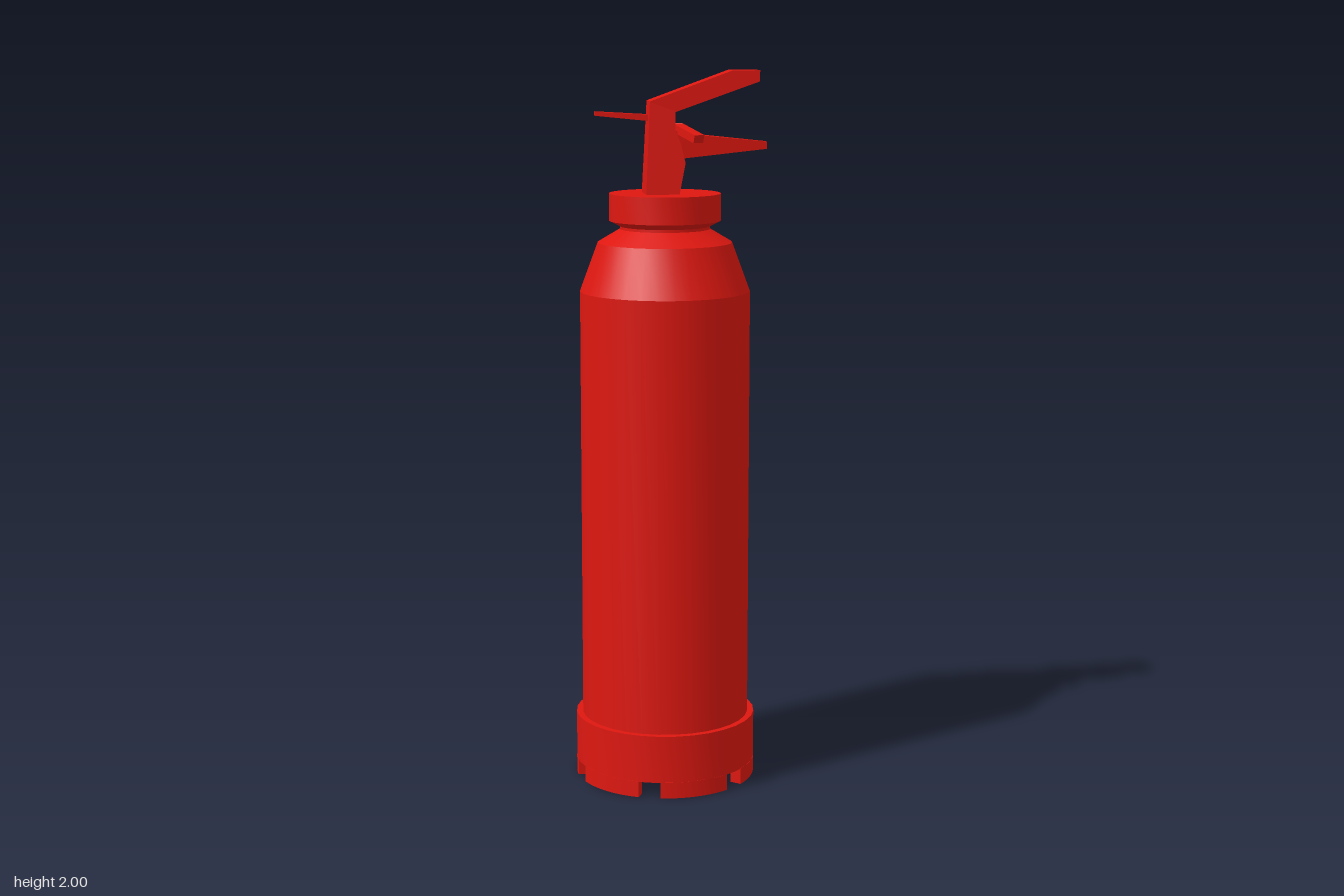
import * as THREE from 'three';
import { toCreasedNormals } from 'three/addons/utils/BufferGeometryUtils.js';

const CX = -0.014; // axis of the cylinder
const SIDES = 32;

export function createModel() {
  const model = new THREE.Group();
  const red = new THREE.MeshStandardMaterial({ color: 0xdd1710 });

  const add = (name, geometry, parent = model) => {
    const mesh = new THREE.Mesh(toCreasedNormals(geometry, 0.28), red);
    mesh.name = name;
    parent.add(mesh);
    return mesh;
  };
  const turned = (name, points) => {
    const profile = points.map(([r, y]) => new THREE.Vector2(r, y));
    const mesh = add(name, new THREE.LatheGeometry(profile, SIDES));
    mesh.position.x = CX;
  };
  // Side outline in x/y, extruded evenly about z = 0
  const plate = (points, halfWidth) => {
    const shape = new THREE.Shape(points.map(([x, y]) => new THREE.Vector2(x, y)));
    const g = new THREE.ExtrudeGeometry(shape, { depth: 2 * halfWidth, bevelEnabled: false });
    return g.translate(0, 0, -halfWidth);
  };
  // Scale z of every vertex by a rule
  const widen = (g, rule) => {
    const p = g.attributes.position;
    for (let i = 0; i < p.count; i++) p.setZ(i, p.getZ(i) * rule(p.getX(i), p.getY(i)));
    return g;
  };

  // Tank with tapered shoulder and neck
  turned('tank', [[0.237, 0.17], [0.237, 1.395], [0.187, 1.53], [0.125, 1.567], [0.125, 1.58]]);
  turned('cap', [[0.12, 1.572], [0.155, 1.59], [0.155, 1.665], [0, 1.665]]);

  // Base ring with a hollow underside
  turned('baseRing', [[0, 0.12], [0.2, 0.12], [0.222, 0.045], [0.255, 0.045], [0.255, 0.18], [0.236, 0.18]]);

  // Feet: six ring sectors separated by notches
  const feet = new THREE.Group();
  feet.name = 'feet';
  feet.position.x = CX;
  model.add(feet);
  const start = THREE.MathUtils.degToRad(1.5), end = THREE.MathUtils.degToRad(47.5);
  for (let i = 0; i < 6; i++) {
    const sector = new THREE.Shape();
    sector.absarc(0, 0, 0.255, start, end, false);
    sector.absarc(0, 0, 0.222, end, start, true);
    const g = new THREE.ExtrudeGeometry(sector, { depth: 0.046, bevelEnabled: false, curveSegments: 5 });
    g.rotateX(-Math.PI / 2).rotateY(-Math.PI / 2 + Math.PI / 3 * i + Math.PI / 3 + start + end);
    add('foot', g, feet);
  }

  // Valve post, wider at its foot
  add('valvePost', widen(
    plate([[-0.072, 1.665], [0.02, 1.665], [0.037, 1.75], [0.025, 1.8], [0.01, 1.84], [0.01, 1.89], [-0.06, 1.915]], 0.043),
    (x, y) => 1 + 0.36 * Math.max(0, (1.915 - y) / 0.25)));

  // Upper handle, bent level at its tip
  add('carryHandle', plate(
    [[-0.06, 1.86], [0.01, 1.888], [0.243, 1.97], [0.243, 2.0], [0.168, 2.0], [-0.06, 1.917]], 0.043));

  // Squeeze lever, tapering to a narrow tip
  add('squeezeLever', widen(
    plate([[0.0, 1.74], [0.035, 1.762], [0.268, 1.785], [0.268, 1.805], [0.045, 1.828], [0.0, 1.84]], 0.04),
    (x) => 1 - 0.68 * Math.max(0, x) / 0.268));

  // Pin sticking out behind the post
  add('pin', plate([[-0.207, 1.878], [-0.05, 1.862], [-0.05, 1.88], [-0.207, 1.889]], 0.017));

  // Two drooping wings beside the lever
  for (const side of [1, -1]) {
    const from = new THREE.Vector3(0.02, 1.845, 0.01 * side);
    const to = new THREE.Vector3(0.067, 1.818, 0.102 * side);
    const g = new THREE.BoxGeometry(0.032, 0.022, from.distanceTo(to));
    const wing = add(side > 0 ? 'frontWing' : 'backWing', g);
    wing.position.copy(from).lerp(to, 0.5);
    wing.lookAt(to);
  }

  return model;
}
